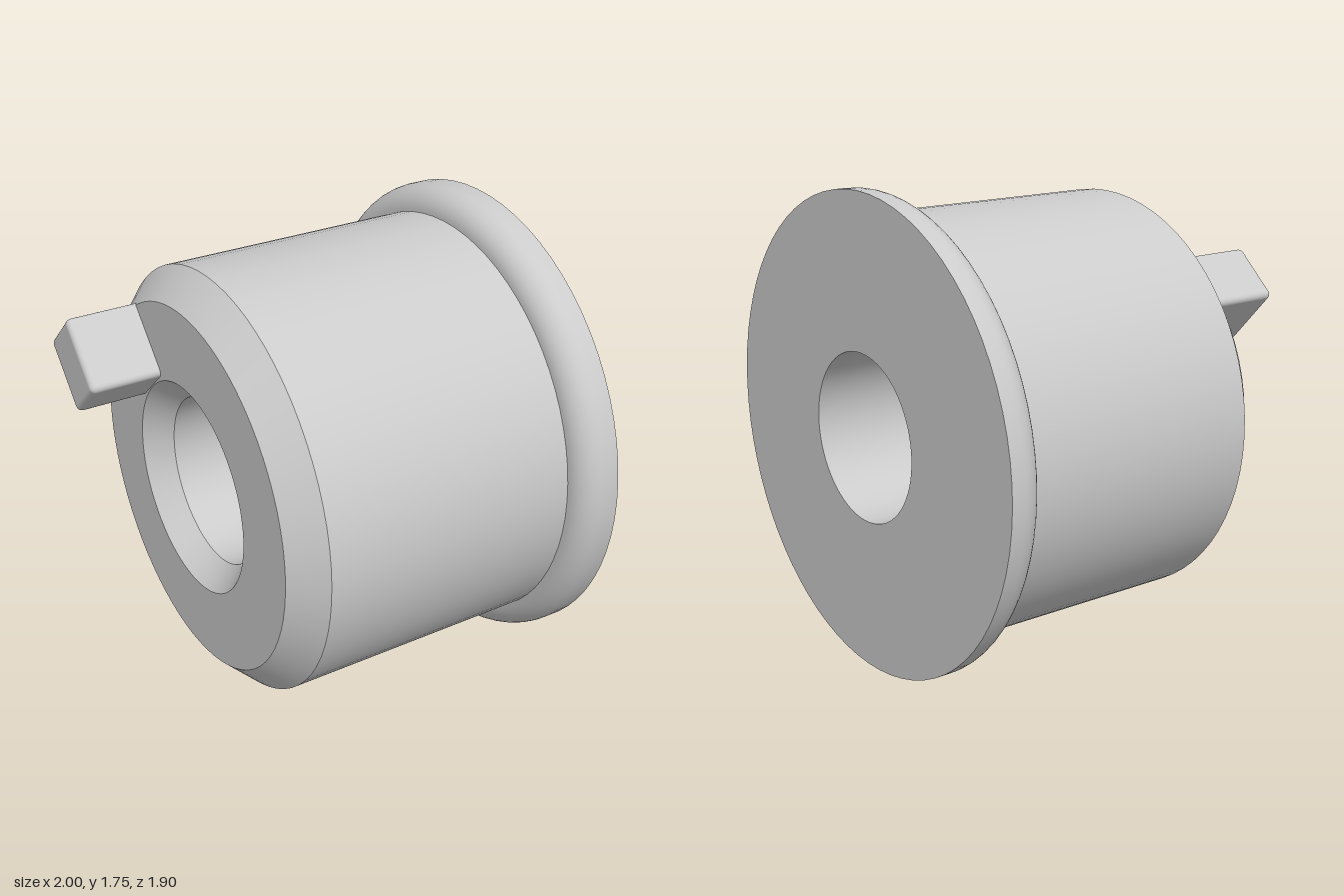
import * as THREE from 'three';
import { toCreasedNormals } from 'three/addons/utils/BufferGeometryUtils.js';
import { RoundedBoxGeometry } from 'three/addons/geometries/RoundedBoxGeometry.js';

const BODY_R = 0.78, FLANGE_R = 0.875, BORE_R = 0.31;
const FACE_R = 0.672, FACE_Z = 1.21;

export function createModel() {
  const material = new THREE.MeshStandardMaterial({ color: 0xcccccc });
  const bushing = new THREE.Group();
  bushing.name = 'bushing';

  // Turned body: rounded rear flange, chamfered front, bore with countersink
  const profile = [[BORE_R, 0], [FLANGE_R, 0]];
  const round = FLANGE_R - BODY_R;
  for (let i = 0; i <= 10; i++) {
    const a = (i / 10) * Math.PI / 2;
    profile.push([BODY_R + round * Math.cos(a), 0.05 + round * Math.sin(a)]);
  }
  profile.push(
    [BODY_R, FACE_Z - 0.108], [FACE_R, FACE_Z],
    [0.39, FACE_Z], [BORE_R, FACE_Z - 0.09], [BORE_R, 0],
  );
  const lathe = new THREE.LatheGeometry(profile.map(([r, z]) => new THREE.Vector2(r, z)), 72);
  lathe.rotateX(Math.PI / 2);
  const body = new THREE.Mesh(toCreasedNormals(lathe, 0.5), material);
  body.name = 'flangedBody';
  bushing.add(body);

  // Drive key standing on the front ring, in line with the radius
  const tip = 1.47, root = 1.14, angle = THREE.MathUtils.degToRad(132), radius = 0.534;
  const key = new THREE.Mesh(new RoundedBoxGeometry(0.28, 0.23, tip - root, 4, 0.022), material);
  key.name = 'driveKey';
  key.position.set(radius * Math.cos(angle), radius * Math.sin(angle), (tip + root) / 2);
  key.rotation.z = angle;
  bushing.add(key);

  // Lay the axis level, turned toward the front right
  bushing.rotation.y = -Math.atan2(0.6, 0.8);
  bushing.position.set(0.3, FLANGE_R, -0.425);

  const model = new THREE.Group();
  model.name = 'model';
  model.add(bushing);
  return model;
}
